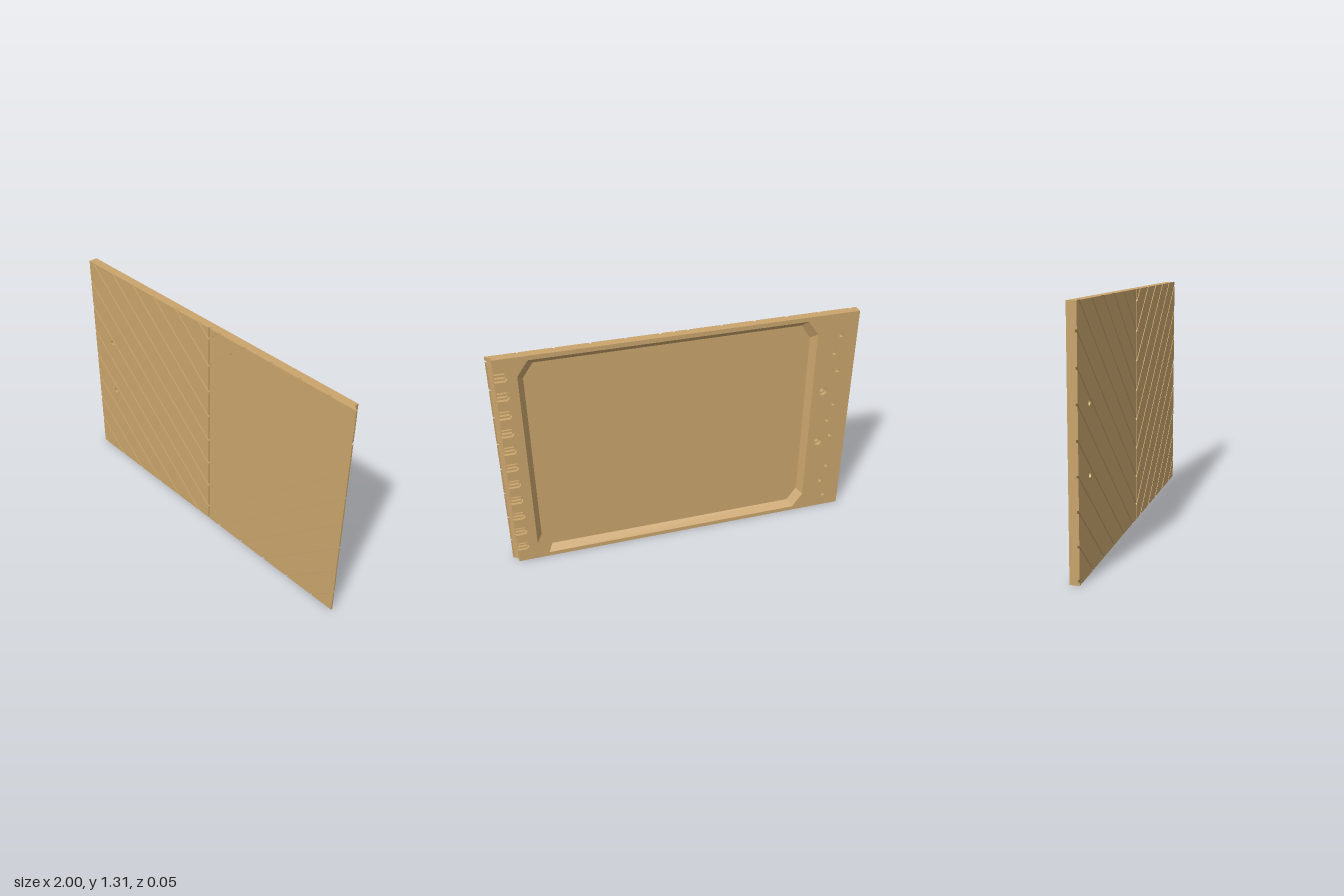
import * as THREE from 'three';

const W = 1, H = 1.31, SEAM = 0.03, SLOPE = 0.9, PITCH = 0.165, APEX = 1.241;
const BACK = -0.025, STEP = -0.003, FLOOR = 0.01, GROOVE = 0.016, FRONT = 0.025;
const BOLTS = [[-0.83, 0.83], [-0.83, 0.485]];

const toPath = (pts, Type = THREE.Path) => new Type(pts.map(([x, y]) => new THREE.Vector2(x, y)));
const rect = (x0, y0, x1, y1) => [[x0, y0], [x1, y0], [x1, y1], [x0, y1]];
const circle = ([x, y], r) => new THREE.Path().absarc(x, y, r, 0, Math.PI * 2, true);

// Flat layer with holes, spanning z0 to z1
function layer(outline, holes, z0, z1) {
  const shape = toPath(outline, THREE.Shape);
  shape.holes.push(...holes);
  return new THREE.ExtrudeGeometry(shape, { depth: z1 - z0, bevelEnabled: false, curveSegments: 10 })
    .translate(0, 0, z0);
}

// Keeps the part of a polygon where f(point) >= 0
function clip(poly, f) {
  const out = [];
  poly.forEach((a, i) => {
    const b = poly[(i + 1) % poly.length], fa = f(a), fb = f(b);
    if (fa >= 0) out.push(a);
    if (fa * fb < 0) {
      const t = fa / (fa - fb);
      out.push([a[0] + (b[0] - a[0]) * t, a[1] + (b[1] - a[1]) * t]);
    }
  });
  return out;
}

// Rectangle with its corners cut off
function cutRect(x0, y0, x1, y1, cx, cy) {
  return [[x0 + cx, y0], [x1 - cx, y0], [x1, y0 + cy], [x1, y1 - cy],
    [x1 - cx, y1], [x0 + cx, y1], [x0, y1 - cy], [x0, y0 + cy]];
}

export function createModel() {
  const model = new THREE.Group();
  const wood = new THREE.MeshStandardMaterial({ color: 0xc9a46c });
  wood.name = 'tan wood';
  const add = (name, geometry, parent = model) => {
    const mesh = new THREE.Mesh(geometry, wood);
    mesh.name = name;
    parent.add(mesh);
    return mesh;
  };
  const group = (name) => {
    const g = new THREE.Group();
    g.name = name;
    model.add(g);
    return g;
  };

  // Front planks in a chevron, separated by narrow grooves
  const planks = group('chevronPlanks');
  const gap = 0.0065;
  for (const side of [-1, 1]) {
    const half = side < 0 ? rect(-W, 0, SEAM - 0.005, H) : rect(SEAM + 0.005, 0, W, H);
    const level = ([x, y]) => y - SLOPE * Math.abs(x - SEAM);
    for (let k = -1; k < 14; k++) {
      const top = APEX - k * PITCH - gap, bottom = APEX - (k + 1) * PITCH + gap;
      const poly = clip(clip(half, (p) => top - level(p)), (p) => level(p) - bottom);
      if (poly.length < 3) continue;
      const holes = BOLTS.filter((b) => side < 0 && level(b) < top && level(b) > bottom);
      add('plank', layer(poly, holes.map((b) => circle(b, 0.015)), GROOVE, FRONT), planks);
    }
  }

  // Sheet behind the planks: groove bottoms and pocket floor
  const boltHoles = (r) => BOLTS.map((b) => circle(b, r));
  add('backingSheet', layer(rect(-W, 0, 0.95, H), boltHoles(0.015), FLOOR, GROOVE));

  // Back frame around the pocket
  const outer = cutRect(-0.765, 0.025, 0.855, 1.285, 0.06, 0.085);
  const inner = cutRect(-0.735, 0.06, 0.825, 1.25, 0.055, 0.08);
  add('innerFrame', layer(rect(-W, 0, 0.95, H), [toPath(outer), ...boltHoles(0.015)], STEP, FLOOR));

  // Rear frame: clip notches along one edge, slots along the other
  const outline = [[-W, 0], [0.97, 0]];
  const clips = group('edgeClips');
  for (let i = 10; i >= 0; i--) {
    const y = 1.205 - i * 0.11, x = 0.905;
    outline.push([0.97, y - 0.026], [x + 0.012, y - 0.026], [x, y - 0.014],
      [x, y + 0.014], [x + 0.012, y + 0.026], [0.97, y + 0.026]);
    for (const dy of [-0.011, 0.011]) {
      add('clipRib', new THREE.BoxGeometry(0.052, 0.01, 0.018)
        .translate(0.941, y + dy, STEP - 0.009), clips);
    }
  }
  outline.push([0.97, H], [-W, H]);
  const slots = [
    ...[1.187, 0.966, 0.745, 0.53, 0.307, 0.09].map((y) => [-0.905, y]),
    ...[1.08, 0.64, 0.2].map((y) => [-0.877, y]),
  ].map(([x, y]) => toPath(rect(x - 0.011, y - 0.022, x + 0.011, y + 0.022)));
  add('rearFrame', layer(outline, [toPath(outer), ...boltHoles(0.025), ...slots], BACK, STEP));

  // Sloping walls of the pocket
  const walls = [];
  outer.forEach((a, i) => {
    const j = (i + 1) % outer.length;
    const oi = [...a, BACK], oj = [...outer[j], BACK];
    const ii = [...inner[i], FLOOR], ij = [...inner[j], FLOOR];
    walls.push(...oj, ...oi, ...ii, ...oj, ...ii, ...ij);
  });
  const wallGeometry = new THREE.BufferGeometry();
  wallGeometry.setAttribute('position', new THREE.Float32BufferAttribute(walls, 3));
  wallGeometry.computeVertexNormals();
  add('pocketWalls', wallGeometry);

  // Slanted lip under the overhanging edge
  const lip = [[0.95, -GROOVE], [0.992, -GROOVE], [0.97, -STEP], [0.95, -STEP]];
  add('edgeLip', layer(lip, [], 0, H).rotateX(-Math.PI / 2));

  return model;
}
